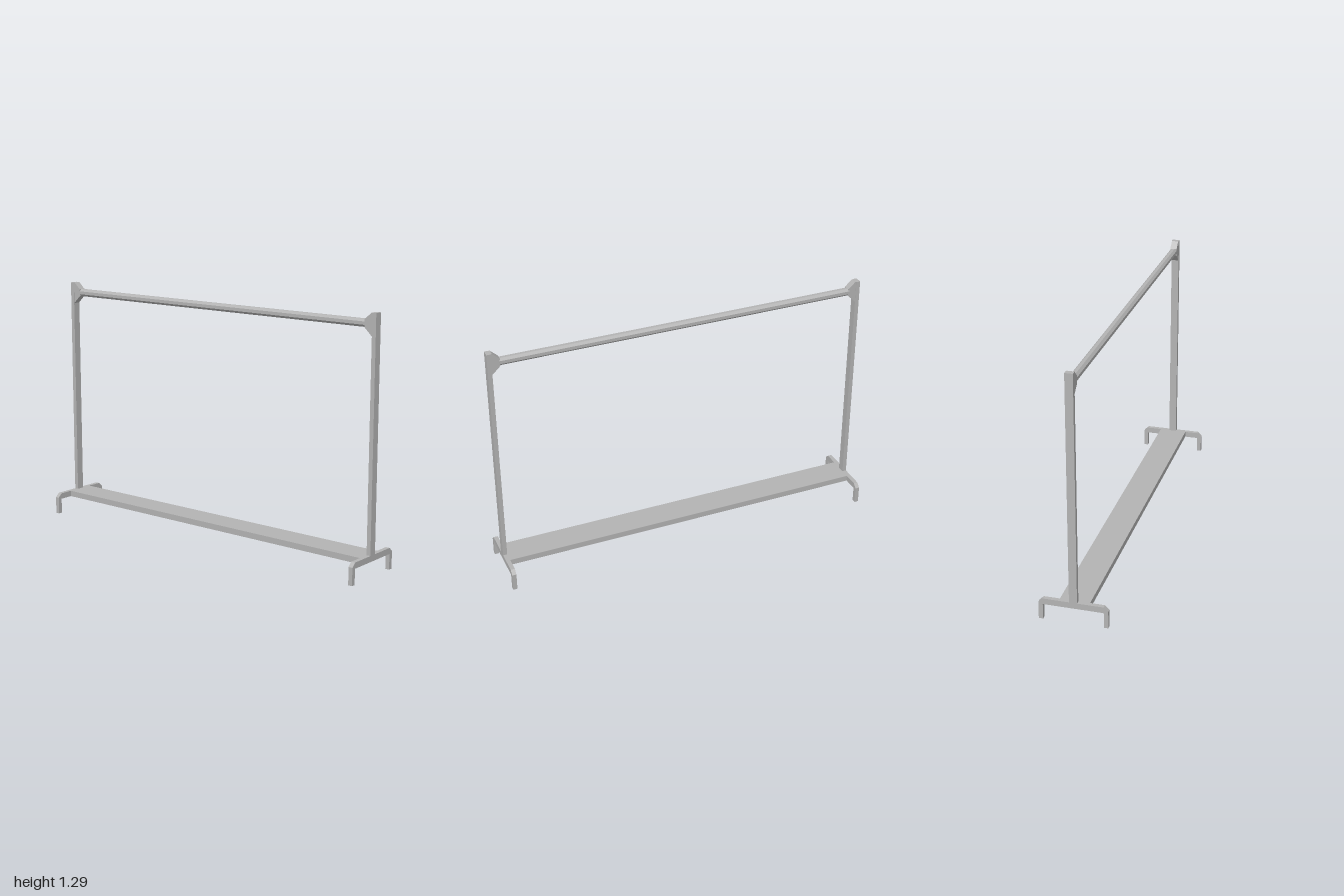
import * as THREE from 'three';

export function createModel() {
  const group = new THREE.Group();
  const metal = new THREE.MeshStandardMaterial({ color: 0xb3b3b3 });
  metal.name = 'greyMetal';
  const T = 0.022; // thickness of the end frames

  const add = (name, geometry, parent) => {
    const mesh = new THREE.Mesh(geometry, metal);
    mesh.name = name;
    parent.add(mesh);
    return mesh;
  };
  const box = (w, h, d, x, y, z) => new THREE.BoxGeometry(w, h, d).translate(x, y, z);
  const extrude = (points, depth) => new THREE.ExtrudeGeometry(
    new THREE.Shape(points.map(([x, y]) => new THREE.Vector2(x, y))),
    { depth, bevelEnabled: false });

  // Foot: a bridge outline with chamfered shoulders
  const half = [[0.151, 0.081], [0.151, 0], [0.173, 0], [0.173, 0.091], [0.151, 0.112]];
  const footOutline = [...half, ...half.map(([x, y]) => [-x, y]).reverse()];

  // Bracket: profile in (inward distance, height), swept across the post width
  const bracketOutline = [[0.02, 1.172], [0.065, 1.215], [0.065, 1.253], [0.028, 1.287], [0.02, 1.287]];

  // Two identical end frames, the back one turned around
  for (const [name, turn] of [['frontEnd', 0], ['backEnd', Math.PI]]) {
    const end = new THREE.Group();
    end.name = name;
    add('foot', extrude(footOutline, T).translate(0, 0, 1 - T), end);
    add('post', box(0.04, 1.287 - 0.112, T, 0, (1.287 + 0.112) / 2, 1 - T / 2), end);
    add('bracket', extrude(bracketOutline, 0.036)
      .translate(0, 0, -0.018).rotateY(Math.PI / 2).translate(0, 0, 1), end);
    end.rotation.y = turn;
    group.add(end);
  }

  // Octagonal hanging rail between the brackets
  const rail = new THREE.CylinderGeometry(0.0208, 0.0208, 1.88, 8).toNonIndexed();
  rail.rotateY(Math.PI / 8).rotateX(Math.PI / 2).translate(0.002, 1.234, 0);
  rail.computeVertexNormals();
  add('hangingRail', rail, group);

  // Bottom shelf joining the feet
  add('shelf', box(0.15, 0.031, 2 - 2 * T, -0.003, 0.0965, 0), group);

  return group;
}
